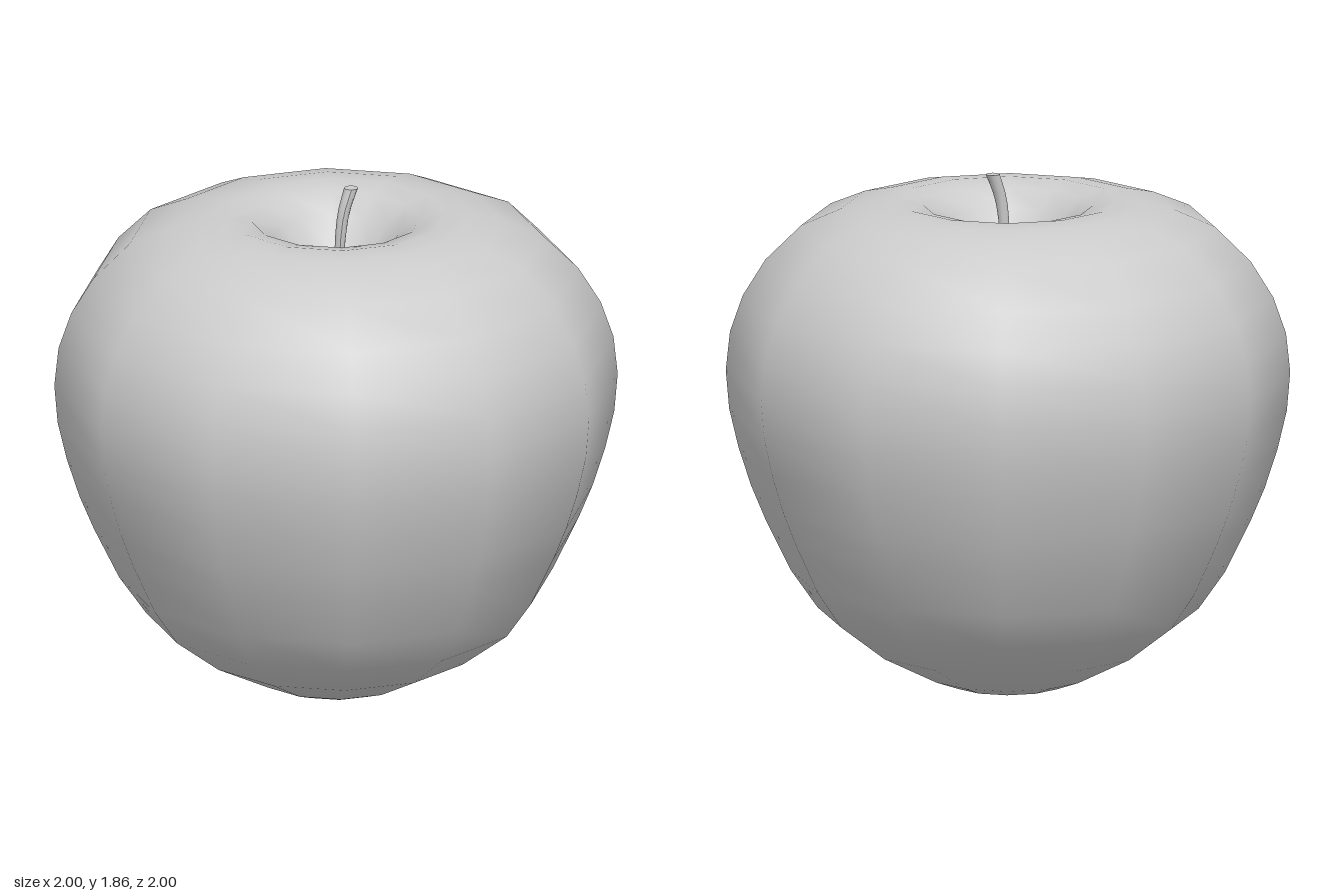
import * as THREE from 'three';

const grey = () => new THREE.MeshStandardMaterial({ color: 0xcccccc });

// Twelve-sided lathed body with a hollow at the bottom and at the top
function makeBody() {
  const profile = [
    [0, 0.07], [0.05, 0.055], [0.1, 0.015], [0.15, 0], [0.2, 0.007],
    [0.29, 0.04], [0.5, 0.147], [0.675, 0.28], [0.77, 0.415], [0.86, 0.6],
    [0.91, 0.72], [0.955, 0.86], [0.988, 1.0], [1, 1.14], [0.985, 1.28],
    [0.94, 1.41], [0.86, 1.54], [0.733, 1.665], [0.59, 1.727], [0.48, 1.752],
    [0.39, 1.76], [0.3, 1.74], [0.22, 1.68], [0.14, 1.57], [0.06, 1.47], [0, 1.43],
  ].map(([r, y]) => new THREE.Vector2(r, y));
  const body = new THREE.Mesh(new THREE.LatheGeometry(profile, 12), grey());
  body.name = 'fruitBody';
  return body;
}

// Tapered cylinder whose rings follow a gentle curve
function makeStem() {
  const path = new THREE.CatmullRomCurve3([
    new THREE.Vector3(0.008, 1.42, 0.01),
    new THREE.Vector3(0.01, 1.6, 0.014),
    new THREE.Vector3(0.025, 1.76, 0.008),
    new THREE.Vector3(0.054, 1.855, -0.01),
  ]);
  const geometry = new THREE.CylinderGeometry(0.025, 0.013, 1, 8, 8);
  const pos = geometry.attributes.position;
  for (let i = 0; i < pos.count; i++) {
    const c = path.getPoint(THREE.MathUtils.clamp(pos.getY(i) + 0.5, 0, 1));
    pos.setXYZ(i, pos.getX(i) + c.x, c.y, pos.getZ(i) + c.z);
  }
  geometry.computeVertexNormals();
  const stem = new THREE.Mesh(geometry, grey());
  stem.name = 'stem';
  return stem;
}

export function createModel() {
  const group = new THREE.Group();
  group.name = 'apple';
  group.add(makeBody(), makeStem());
  return group;
}
